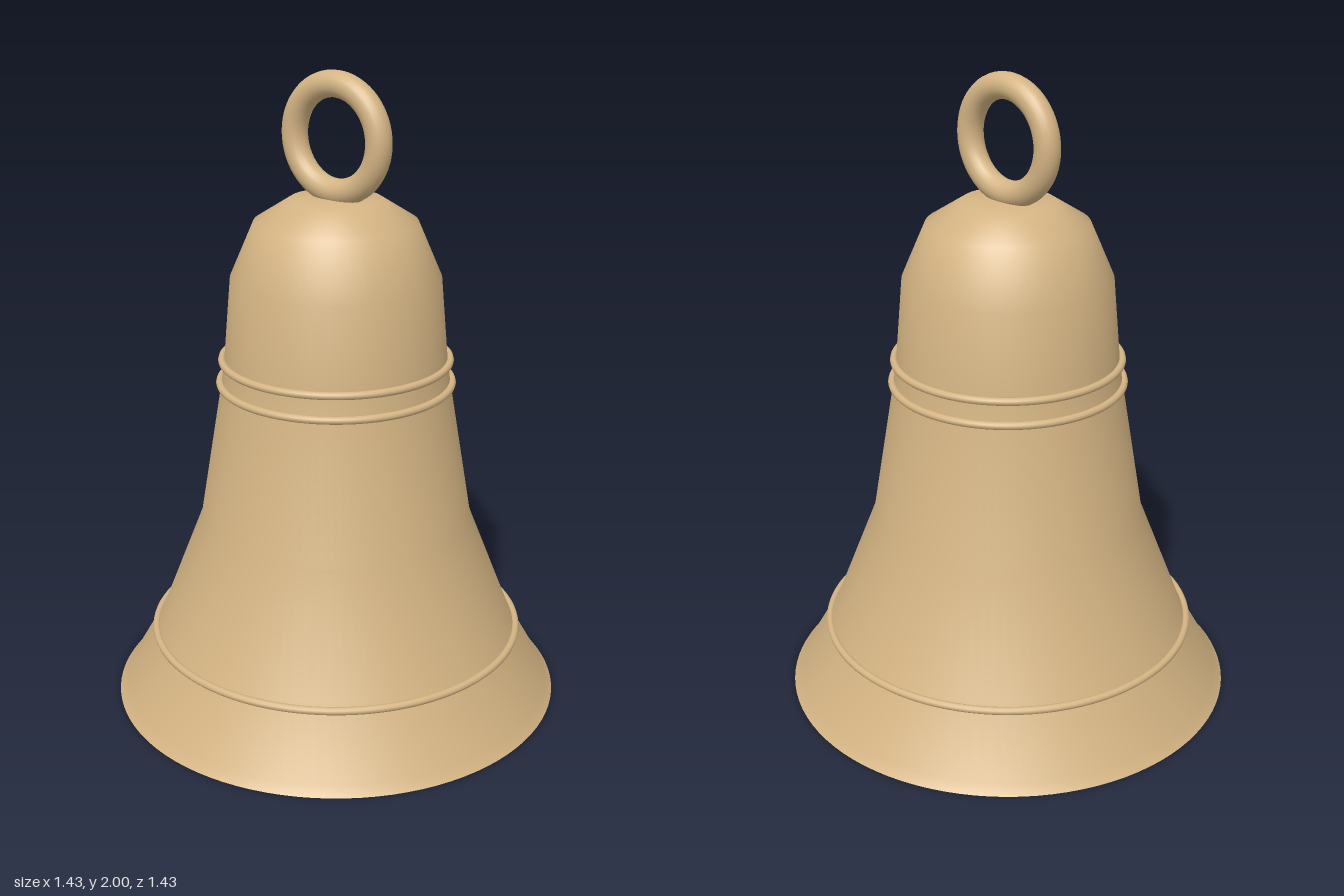
import * as THREE from 'three';

export function createModel() {
  const bell = new THREE.Group();
  bell.name = 'bell';
  const brass = new THREE.MeshStandardMaterial({ color: 0xd4b483 });
  brass.name = 'brass';

  const add = (name, geometry, y = 0) => {
    const mesh = new THREE.Mesh(geometry, brass);
    mesh.name = name;
    mesh.position.y = y;
    bell.add(mesh);
    return mesh;
  };
  const lathe = (points, segments = 96) =>
    new THREE.LatheGeometry(points.map(([r, y]) => new THREE.Vector2(r, y)), segments);

  // Outer wall, bottom to top
  add('outerWall', lathe([
    [0.715, 0], [0.69, 0.03], [0.575, 0.23], [0.43, 0.6], [0.355, 1.05],
    [0.345, 1.13], [0.323, 1.38], [0.25, 1.55], [0.14, 1.62], [0, 1.62],
  ]));

  // Inner wall, top to bottom so that it faces inward
  add('innerWall', lathe([
    [0, 1.57], [0.12, 1.57], [0.21, 1.51], [0.28, 1.36], [0.31, 1.08],
    [0.385, 0.6], [0.535, 0.22], [0.67, 0],
  ]));

  // Flat lip joining the two walls
  add('lip', lathe([[0.67, 0], [0.715, 0]]));

  // Raised bands around the wall: [name, radius, height]
  for (const [name, radius, y] of [
    ['lowerBand', 0.588, 0.215], ['middleBand', 0.361, 1.045], ['upperBand', 0.353, 1.118],
  ]) {
    add(name, new THREE.TorusGeometry(radius, 0.012, 12, 96).rotateX(Math.PI / 2), y);
  }

  // Hanging loop
  add('hangingLoop', new THREE.TorusGeometry(0.16, 0.04, 20, 64), 1.8);

  // Clapper on its rod
  add('clapperRod', new THREE.CylinderGeometry(0.02, 0.02, 1.33, 16), 0.915);
  add('clapper', lathe([[0.08, 0.09], [0.11, 0.17], [0.11, 0.24], [0.075, 0.28], [0, 0.28]], 32));
  add('clapperBase', lathe([[0, 0.09], [0.08, 0.09]], 32));

  return bell;
}
